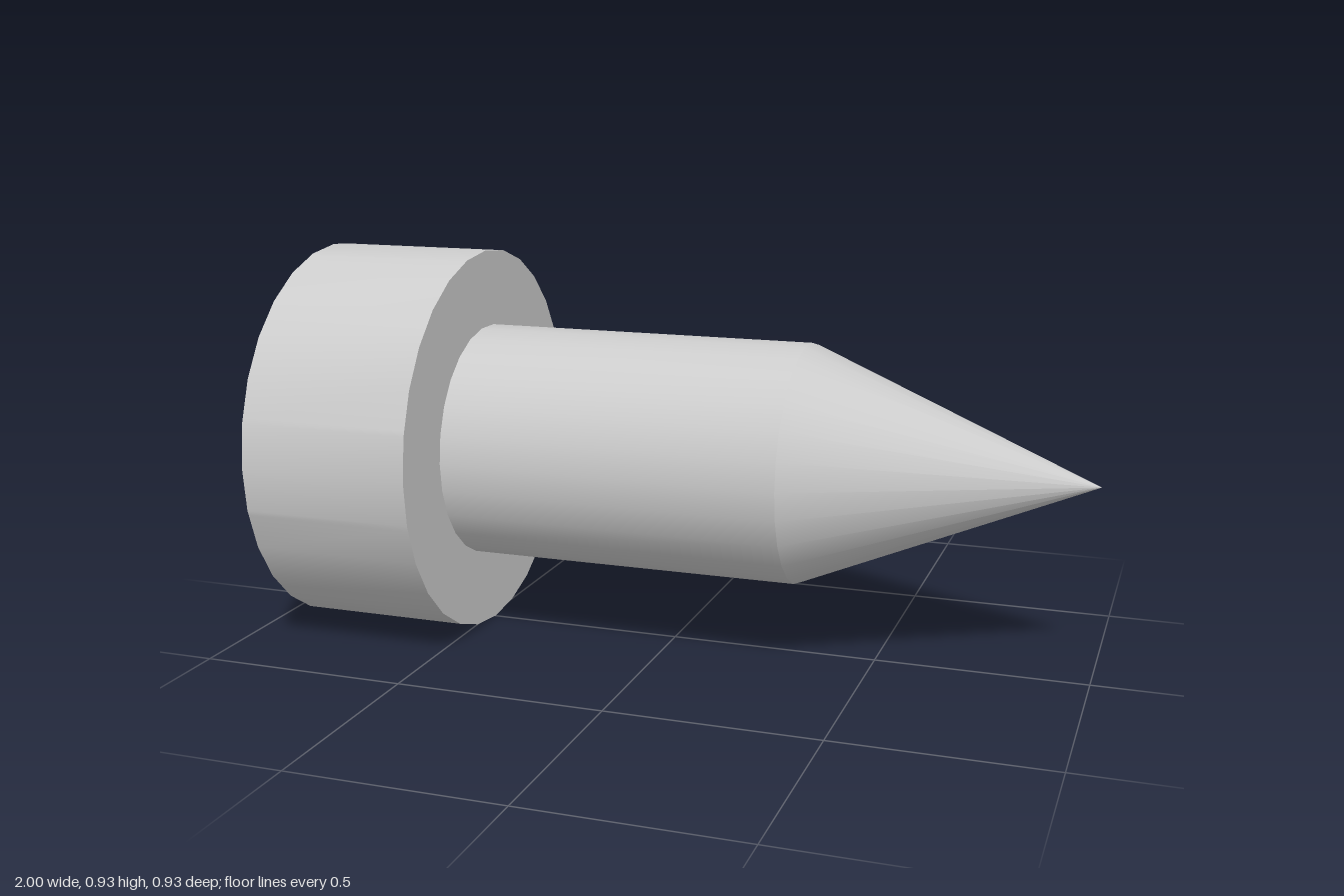
import * as THREE from 'three';
import { toCreasedNormals } from 'three/addons/utils/BufferGeometryUtils.js';

const HEAD_R = 0.467, SHANK_R = 0.283, SIDES = 28;
const ARM = { w: 0.057, l: 0.22 };        // recess cross at the surface
const ARM_DEEP = { w: 0.045, l: 0.12 };   // recess cross at its floor
const FLOOR_X = -0.8, RIM_X = -0.9, UNDER_X = -0.485;
const DOME = (HEAD_R ** 2 + 0.1 ** 2) / 0.2; // sphere radius of the domed face

const domeX = (r) => -1 + DOME - Math.sqrt(DOME * DOME - r * r);

// Distance from the axis to the outline of the cross in direction a
function crossRadius(a) {
  const c = Math.abs(Math.cos(a)), s = Math.abs(Math.sin(a));
  const hi = Math.max(c, s), lo = Math.min(c, s);
  return ARM.l * lo / hi <= ARM.w + 1e-6 ? ARM.l / hi : ARM.w / lo;
}

// Moves a point of the surface cross to the matching point of the floor cross
function deepen(v) {
  const m = Math.abs(v);
  const d = m <= ARM.w ? m * ARM_DEEP.w / ARM.w
    : ARM_DEEP.w + (m - ARM.w) * (ARM_DEEP.l - ARM_DEEP.w) / (ARM.l - ARM.w);
  return Math.sign(v) * d;
}

// Rim directions plus the twelve corners of the cross
function headAngles() {
  const list = [];
  for (let i = 0; i < SIDES; i++) list.push(i * 2 * Math.PI / SIDES);
  const corner = Math.atan2(ARM.w, ARM.l);
  for (let q = 0; q < 4; q++) {
    for (const a of [corner, Math.PI / 4, Math.PI / 2 - corner]) list.push(q * Math.PI / 2 + a);
  }
  return list.sort((a, b) => a - b);
}

// Head: loops from the recess floor out over the dome and round to the underside
function headGeometry() {
  const angles = headAngles(), n = angles.length, step = 2 * Math.PI / SIDES;
  const polygon = (a) => Math.cos(step / 2) / Math.cos((a % step) - step / 2);
  const ring = (r, x, a) => [x, r * Math.cos(a), r * Math.sin(a)];
  const loops = [
    () => [FLOOR_X, 0, 0],
    (a) => {
      const r = crossRadius(a);
      return [FLOOR_X, deepen(r * Math.cos(a)), deepen(r * Math.sin(a))];
    },
  ];
  const rings = 6;
  for (let k = 0; k <= rings; k++) {
    loops.push((a) => {
      const t = k / rings, r = THREE.MathUtils.lerp(crossRadius(a), HEAD_R, t);
      return ring(r * THREE.MathUtils.lerp(1, polygon(a), t), k === rings ? RIM_X : domeX(r), a);
    });
  }
  loops.push((a) => ring(HEAD_R * polygon(a), UNDER_X, a));
  loops.push(() => [UNDER_X, 0, 0]);

  const position = [], index = [];
  for (const loop of loops) for (const a of angles) position.push(...loop(a));
  for (let i = 0; i < loops.length - 1; i++) {
    for (let j = 0; j < n; j++) {
      const k = (j + 1) % n, a = i * n, b = a + n;
      if (i > 0) index.push(a + j, a + k, b + j);
      if (i < loops.length - 2) index.push(a + k, b + k, b + j);
    }
  }
  const g = new THREE.BufferGeometry();
  g.setAttribute('position', new THREE.Float32BufferAttribute(position, 3));
  g.setIndex(index);
  return toCreasedNormals(g, 0.35);
}

// Surface of revolution about the x axis, from [radius, x] points
function turned(points) {
  const g = new THREE.LatheGeometry(points.map(([r, x]) => new THREE.Vector2(r, x)), 26);
  return toCreasedNormals(g.rotateZ(-Math.PI / 2), 0.35);
}

export function createModel() {
  const model = new THREE.Group();
  model.name = 'screw';
  const material = new THREE.MeshStandardMaterial({ color: 0xcccccc });
  const add = (name, geometry) => {
    const mesh = new THREE.Mesh(geometry, material);
    mesh.name = name;
    mesh.position.y = HEAD_R;
    model.add(mesh);
  };
  add('head', headGeometry());
  add('shank', turned([[SHANK_R, UNDER_X], [SHANK_R, 0.325]]));
  add('point', turned([[SHANK_R, 0.325], [0, 1]]));
  return model;
}
